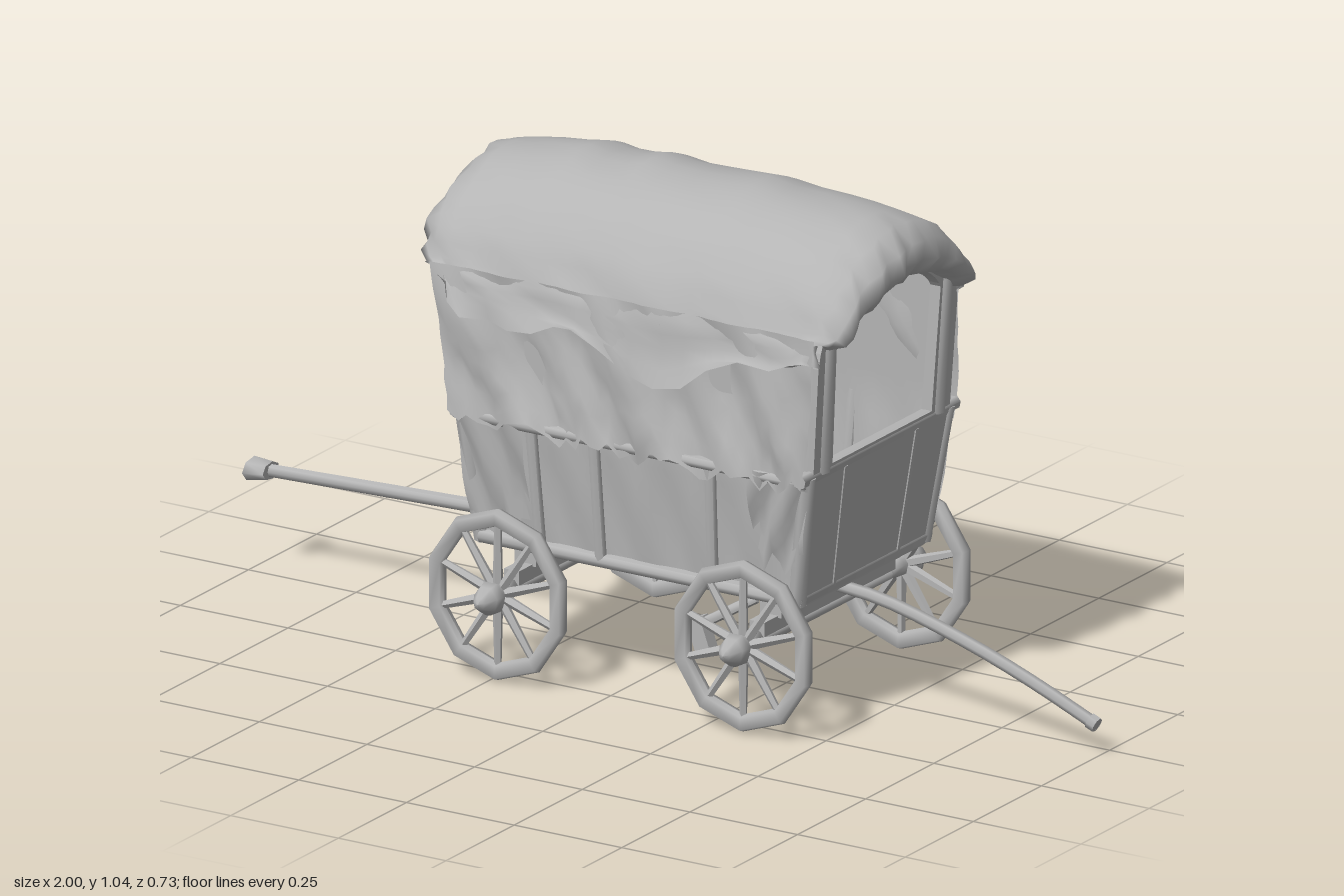
import * as THREE from 'three';
import { toCreasedNormals } from 'three/addons/utils/BufferGeometryUtils.js';

const mat = new THREE.MeshStandardMaterial({ color: 0xb4b4b4, side: THREE.DoubleSide });
mat.name = 'weathered grey';

// Repeatable noise in -1..1
const noise = (a, b = 0) => {
  const s = Math.sin(a * 127.1 + b * 311.7) * 43758.5453;
  return 2 * (s - Math.floor(s)) - 1;
};
const lerp = THREE.MathUtils.lerp;
const V = (x, y, z) => new THREE.Vector3(x, y, z);
const bump = (x, centre, width) => Math.exp(-(((x - centre) / width) ** 2));

// x of the sloping end walls at height y (end = -1 or 1)
const endX = (end, y) => {
  const low = Math.min(y, 0.55) - 0.27, high = Math.max(y - 0.55, 0);
  return end < 0 ? -0.31 - 0.107 * low - 0.2 * high : 0.42 + 0.14 * low + 0.06 * high;
};

export function createModel() {
  const wagon = new THREE.Group();
  wagon.name = 'coveredWagon';

  function add(geo, name, parent = wagon) {
    const mesh = new THREE.Mesh(geo, mat);
    mesh.name = name;
    parent.add(mesh);
    return mesh;
  }
  function box(name, w, h, d, x, y, z) {
    const m = add(new THREE.BoxGeometry(w, h, d), name);
    m.position.set(x, y, z);
    return m;
  }
  // Round bar between two points
  function bar(name, a, b, r1, r2 = r1, sides = 7, parent = wagon) {
    const d = b.clone().sub(a);
    const geo = toCreasedNormals(new THREE.CylinderGeometry(r2, r1, d.length(), sides), 1);
    const m = add(geo, name, parent);
    m.position.copy(a).add(b).multiplyScalar(0.5);
    m.quaternion.setFromUnitVectors(V(0, 1, 0), d.normalize());
    return m;
  }
  // Smooth sheet from a rule fn(i, j) => Vector3
  function sheet(name, nu, nv, fn) {
    const pos = [], idx = [];
    for (let i = 0; i <= nu; i++) for (let j = 0; j <= nv; j++) pos.push(...fn(i, j).toArray());
    for (let i = 0; i < nu; i++) for (let j = 0; j < nv; j++) {
      const a = i * (nv + 1) + j, b = a + nv + 1;
      idx.push(a, b, a + 1, b, b + 1, a + 1);
    }
    const geo = new THREE.BufferGeometry();
    geo.setAttribute('position', new THREE.Float32BufferAttribute(pos, 3));
    geo.setIndex(idx);
    geo.computeVertexNormals();
    return add(geo, name);
  }

  // Wheels: ten-sided rounded rim, spokes and pointed hub
  const rimGeo = new THREE.LatheGeometry(
    [[0.142, 0], [0.146, -0.013], [0.172, -0.015], [0.178, 0], [0.172, 0.015], [0.146, 0.013], [0.142, 0]]
      .map(p => new THREE.Vector2(...p)), 10).rotateX(Math.PI / 2);
  const hubGeo = new THREE.LatheGeometry(
    [[0, -0.05], [0.018, -0.05], [0.024, -0.02], [0.024, 0.005], [0.036, 0.027], [0.03, 0.045], [0.014, 0.07], [0, 0.075]]
      .map(p => new THREE.Vector2(...p)), 7).rotateX(Math.PI / 2);
  for (const x of [-0.237, 0.333]) for (const s of [-1, 1]) {
    const wheel = new THREE.Group();
    wheel.name = 'wheel';
    add(rimGeo, 'wheelRim', wheel);
    add(hubGeo, 'wheelHub', wheel);
    for (let i = 0; i < 10; i++) {
      const a = (i + 0.5) * Math.PI / 5;
      bar('spoke', V(0, 0, 0), V(Math.cos(a) * 0.15, Math.sin(a) * 0.15, 0), 0.012, 0.008, 5, wheel);
    }
    wheel.position.set(x, 0.186, s * 0.29);
    wheel.rotation.y = s < 0 ? Math.PI : 0;
    wheel.scale.x = 0.92;
    wagon.add(wheel);
  }

  // Running gear
  for (const x of [-0.237, 0.333]) {
    bar('axle', V(x, 0.178, -0.27), V(x, 0.178, 0.27), 0.012);
    box('bolster', 0.035, 0.03, 0.48, x, 0.207, 0);
    for (const s of [-1, 1]) box('bolsterBlock', 0.05, 0.045, 0.04, x, 0.24, s * 0.17);
  }
  for (const s of [-1, 1]) {
    const shoe = box('brakeShoe', 0.035, 0.08, 0.03, 0.195, 0.16, s * 0.222);
    shoe.rotation.z = 0.35;
    bar('brakeArm', V(0.2, 0.19, s * 0.222), V(0.3, 0.25, s * 0.19), 0.011);
  }
  box('floor', 0.75, 0.025, 0.46, 0.055, 0.278, 0);
  box('floorUnderside', 0.7, 0.02, 0.34, 0.055, 0.257, 0);

  // Rear pole with knob, and drooping front tongue
  bar('pole', V(-0.99, 0.218, -0.012), V(-0.03, 0.25, -0.012), 0.013, 0.016);
  bar('poleKnob', V(-0.998, 0.217, -0.012), V(-0.955, 0.219, -0.012), 0.023, 0.018).scale.z = 1.7;
  const path = new THREE.CatmullRomCurve3(
    [V(0.36, 0.255, 0.045), V(0.5, 0.24, 0.042), V(0.7, 0.184, 0.038), V(0.85, 0.128, 0.034), V(0.99, 0.067, 0.03)]);
  add(new THREE.TubeGeometry(path, 12, 0.013, 6), 'tongue');
  bar('tongueTip', path.getPoint(0.97), path.getPoint(1), 0.016);

  // End walls: planked lower panel and an open arched frame above, leaning outward
  for (const end of [-1, 1]) {
    const place = geo => {
      geo.rotateY(Math.PI / 2).translate(-0.012, 0, 0);
      const p = geo.attributes.position;
      for (let i = 0; i < p.count; i++) p.setX(i, p.getX(i) + endX(end, p.getY(i)));
      geo.computeVertexNormals();
      return geo;
    };
    const panel = new THREE.Shape([[-0.22, 0.265], [0.22, 0.265], [0.25, 0.55], [-0.25, 0.55]]
      .map(p => new THREE.Vector2(...p)));
    add(place(new THREE.ExtrudeGeometry(panel, { depth: 0.024, bevelEnabled: false })), 'endPanel');
    const frame = new THREE.Shape();
    frame.moveTo(-0.25, 0.54).lineTo(0.25, 0.54).lineTo(0.255, 0.76);
    frame.absellipse(0, 0.76, 0.255, 0.215, 0.08, Math.PI - 0.08, false).lineTo(-0.25, 0.54);
    const hole = new THREE.Path();
    hole.moveTo(-0.182, 0.56).lineTo(-0.19, 0.82).quadraticCurveTo(-0.16, 0.865, -0.08, 0.89)
      .lineTo(0.08, 0.89).quadraticCurveTo(0.16, 0.865, 0.19, 0.82).lineTo(0.182, 0.56).lineTo(-0.182, 0.56);
    frame.holes.push(hole);
    add(place(new THREE.ExtrudeGeometry(frame, { depth: 0.024, bevelEnabled: false, curveSegments: 10 })), 'openEndFrame');
    bar('endRail', V(endX(end, 0.55), 0.547, -0.285), V(endX(end, 0.55), 0.547, 0.285), 0.015);
    bar('endSill', V(endX(end, 0.28), 0.28, -0.24), V(endX(end, 0.28), 0.28, 0.24), 0.016);
    for (const z of [-0.13, 0.13])
      bar('endBatten', V(endX(end, 0.28) + end * 0.008, 0.28, z * 0.9), V(endX(end, 0.54) + end * 0.008, 0.54, z), 0.008);
    for (const s of [-1, 1]) {
      bar('cornerPost', V(endX(end, 0.27), 0.27, s * 0.228), V(endX(end, 0.55), 0.55, s * 0.255), 0.018);
      bar('doorPost', V(endX(end, 0.55), 0.55, s * 0.21), V(endX(end, 0.85), 0.85, s * 0.215), 0.022);
    }
  }

  // Sides: board wall with lining, rails, posts and hanging cloth
  for (const s of [-1, 1]) {
    sheet('sideWall', 24, 12, (i, j) => {
      const y = lerp(0.27, 0.82, j / 12), low = Math.min(j / 6, 1);
      const fold = 0.007 * Math.sin(i * 1.5 + j * 0.4 + s) * Math.sin(low * Math.PI);
      return V(lerp(endX(-1, y), endX(1, y), i / 24), y, s * (lerp(0.232, 0.255, low) + fold));
    });
    bar('sideRail', V(-0.35, 0.54, s * 0.268), V(0.465, 0.54, s * 0.268), 0.013);
    bar('sideSill', V(-0.31, 0.28, s * 0.236), V(0.42, 0.28, s * 0.236), 0.015);
    for (const x of [-0.17, -0.03, 0.23])
      bar('sidePost', V(x, 0.28, s * 0.238), V(x * 1.04, 0.54, s * 0.264), 0.012);
    sheet('sideCloth', 40, 10, (i, j) => {
      const t = i / 40, v = j / 10;
      const hem = 0.53 + 0.012 * Math.sin(i * 0.8 + s) + 0.015 * noise(i, s);
      const y = lerp(hem, 0.84, v);
      const fold = (1 - v * 0.6) * (0.009 * Math.sin(i * 0.8 + j * 0.7 + s) + 0.005 * noise(i, j + s));
      const flare = 0.018 * Math.pow(1 - v, 3);
      const slump = 0.012 * Math.sin(v * Math.PI) * Math.sin(i * 0.35 + s);
      return V(lerp(endX(-1, y) - 0.012, endX(1, y) + 0.008, t), y, s * (0.266 + flare + fold + slump));
    });
    // Long rags hanging at both corners
    for (const end of [-1, 1]) sheet('cornerCloth', 8, 6, (i, j) => {
      const y = lerp((end < 0 ? 0.31 : 0.35) + 0.03 * noise(i, s + 5), 0.55, j / 6);
      const x = lerp(endX(end, y) + end * 0.012, end < 0 ? -0.19 : 0.33, i / 8);
      return V(x, y, s * (lerp(0.247, 0.276, j / 6) + 0.007 * Math.sin(i * 1.3 + j)));
    });
  }

  // Canvas hood: sagging between hoops, ragged hem, lips curling into both ends
  // Each section: x, arch half-width, arch height
  const sections = [
    [-0.40, 0.235, 0.14], [-0.45, 0.243, 0.155], [-0.472, 0.254, 0.185], [-0.46, 0.263, 0.225], [-0.432, 0.268, 0.255],
    [-0.39, 0.27, 0.27], [-0.33, 0.27, 0.277], [-0.27, 0.272, 0.285], [-0.21, 0.278, 0.295],
    [-0.16, 0.272, 0.288], [-0.11, 0.272, 0.289], [-0.06, 0.278, 0.297], [-0.01, 0.272, 0.29],
    [0.06, 0.273, 0.289], [0.13, 0.275, 0.292], [0.19, 0.278, 0.297], [0.25, 0.273, 0.288],
    [0.32, 0.272, 0.285], [0.39, 0.271, 0.28], [0.45, 0.27, 0.274], [0.505, 0.268, 0.262],
    [0.543, 0.263, 0.23], [0.555, 0.254, 0.19], [0.53, 0.243, 0.158], [0.47, 0.235, 0.14]];
  const n = sections.length - 1, arc = 30;
  sheet('canvasHood', n, arc, (i, j) => {
    const [sx, w, h] = sections[i];
    const edge = Math.min(j, arc - j), side = j < arc / 2 ? 1 : -1;
    const a = Math.PI * THREE.MathUtils.clamp((j - 2) / (arc - 4), 0, 1);
    const nearHem = edge < 7 ? 1 : 0.3, nearEnd = i < 5 || i > n - 5 ? 1 : 0.4;
    const r = 1 + nearHem * (0.016 * noise(i, j) + 0.012 * Math.sin(i * 1.7 + j * 0.9));
    // The lower corners of both ends sweep inward and upward
    const tuck = Math.pow(1 - Math.sin(a), 2);
    const endPull = bump(sx, -0.47, 0.09) * 0.075 - bump(sx, 0.555, 0.09) * 0.065;
    const x = sx + endPull * tuck + 0.01 * nearEnd * noise(i + 40, j);
    const lift = 0.04 * tuck * (bump(sx, -0.47, 0.08) + bump(sx, 0.555, 0.08));
    let y = 0.745 + Math.sin(a) * h * r + lift, z = Math.cos(a) * w * r;
    if (edge < 2) {
      // Torn skirt flaring below the arch, hanging lowest amidships
      const drop = 0.012 + 0.025 * bump(sx, 0.12, 0.1);
      y = 0.785 + lift - (2 - edge) * drop - 0.03 * bump(sx, 0.12, 0.12) + (edge ? 0 : 0.02 * noise(i, side + 9));
      z = side * (w + 0.008 + (edge ? 0 : 0.007 + 0.014 * noise(i, side + 3)));
    } else if (edge < 5) y += 0.045 * (5 - edge) / 3 - 0.03 * bump(sx, 0.12, 0.12) * (5 - edge) / 3;
    return V(x, y, z);
  });
  return wagon;
}
